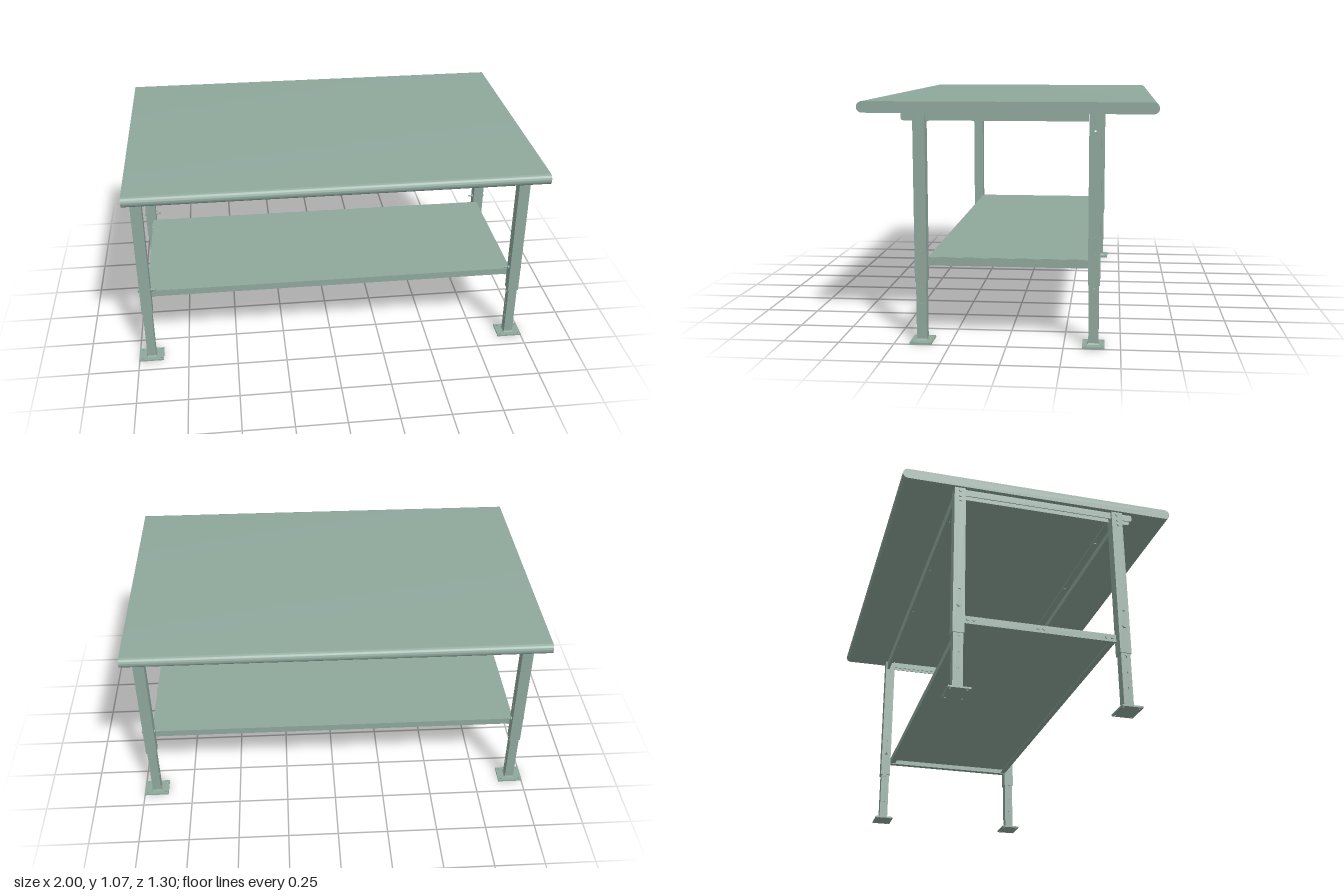
import * as THREE from 'three';
import { toCreasedNormals } from 'three/addons/utils/BufferGeometryUtils.js';

export function createModel() {
  const paint = new THREE.MeshStandardMaterial({ color: 0x8fa89c });
  paint.name = 'sage green paint';
  const model = new THREE.Group();
  model.name = 'workbench';

  const add = (parent, name, geometry) => {
    const mesh = new THREE.Mesh(geometry, paint);
    mesh.name = name;
    parent.add(mesh);
    return mesh;
  };
  const group = (parent, name) => {
    const g = new THREE.Group();
    g.name = name;
    parent.add(g);
    return g;
  };
  // Box given by its lower and upper limits on each axis
  const box = (parent, name, x0, x1, y0, y1, z0, z1) =>
    add(parent, name, new THREE.BoxGeometry(x1 - x0, y1 - y0, z1 - z0)
      .translate((x0 + x1) / 2, (y0 + y1) / 2, (z0 + z1) / 2));
  // Extrude a z/y outline along x, from x0 to x1
  const extrudeX = (shape, x0, x1, curveSegments = 10) => {
    const g = new THREE.ExtrudeGeometry(shape, { depth: x1 - x0, bevelEnabled: false, curveSegments });
    return toCreasedNormals(g.rotateY(Math.PI / 2).translate(x0, 0, 0), 0.6);
  };
  // Rectangle with round holes [a, b, radius]
  const plateShape = (a0, a1, b0, b1, holes = []) => {
    const s = new THREE.Shape([[a0, b0], [a1, b0], [a1, b1], [a0, b1]].map(p => new THREE.Vector2(...p)));
    for (const [a, b, r] of holes) s.holes.push(new THREE.Path().absarc(a, b, r, 0, Math.PI * 2, true));
    return s;
  };
  // Bolt lying along x
  const bolt = (parent, name, x0, x1, y, z, r, sides = 12) =>
    add(parent, name, new THREE.CylinderGeometry(r, r, x1 - x0, sides)
      .rotateZ(Math.PI / 2).translate((x0 + x1) / 2, y, z));
  // Square tube, its two x walls pierced at the given heights
  const tube = (parent, name, x, w, d, y0, y1, t, heights) => {
    const g = group(parent, name);
    const wall = plateShape(-d / 2, d / 2, y0, y1, heights.map(h => [0, h, 0.006]));
    add(g, 'outerWall', extrudeX(wall, x + w / 2 - t, x + w / 2, 6));
    add(g, 'innerWall', extrudeX(wall, x - w / 2, x - w / 2 + t, 6));
    for (const s of [-1, 1]) {
      const zc = s * (d / 2 - t / 2);
      box(g, 'sideWall', x - w / 2 + t, x + w / 2 - t, y0, y1, zc - t / 2, zc + t / 2);
    }
    return g;
  };

  // Worktop with rounded front and back edges
  const r = 0.025, zi = 0.65 - r, yc = 1.045;
  const top = new THREE.Shape();
  top.absarc(zi, yc, r, -Math.PI / 2, Math.PI / 2, false);
  top.absarc(-zi, yc, r, Math.PI / 2, Math.PI * 1.5, false);
  top.closePath();
  add(model, 'worktop', extrudeX(top, -0.975, 0.975, 12));

  // Four telescopic legs with foot plates
  const legX = 0.938, legZ = 0.381;
  for (const sx of [-1, 1]) for (const sz of [-1, 1]) {
    const leg = group(model, 'leg');
    leg.position.set(0, 0, sz * legZ);
    leg.rotation.y = sx < 0 ? Math.PI : 0;
    tube(leg, 'upperLeg', legX, 0.054, 0.053, 0.275, 1.02, 0.004, [0.485, 0.945]);
    tube(leg, 'lowerLeg', legX, 0.044, 0.045, 0.01, 0.48, 0.003, [0.105, 0.18, 0.257]);

    // Foot plate with four corner holes and a weld collar
    const holes = [];
    for (const a of [-1, 1]) for (const b of [-1, 1]) holes.push([legX + a * 0.048, b * 0.037, 0.005]);
    const foot = new THREE.ExtrudeGeometry(plateShape(0.877, 1.0, -0.049, 0.049, holes),
      { depth: 0.008, bevelEnabled: false, curveSegments: 6 });
    add(leg, 'footPlate', foot.rotateX(-Math.PI / 2));
    const collar = new THREE.CylinderGeometry(0.032, 0.037, 0.007, 4, 1).rotateY(Math.PI / 4);
    add(leg, 'footCollar', toCreasedNormals(collar, 0.3)).position.set(legX, 0.0115, 0);

    // Height-locking bolt and top bracket bolts
    bolt(leg, 'lockBoltShank', 0.888, 0.968, 0.407, 0, 0.005);
    bolt(leg, 'lockBoltHead', 0.965, 0.973, 0.407, 0, 0.010, 6);
    bolt(leg, 'lockBoltNut', 0.903, 0.911, 0.407, 0, 0.010, 6);
    for (const y of [0.975, 1.004]) bolt(leg, 'topBolt', 0.965, 0.970, y, 0, 0.007);
  }

  // Side rails under the worktop, reaching past the front legs
  const web = new THREE.Shape();
  web.moveTo(-0.46, 1.02);
  web.lineTo(-0.46, 1.0);
  web.quadraticCurveTo(-0.46, 0.987, -0.447, 0.987);
  web.lineTo(0.352, 0.987);
  web.lineTo(0.352, 1.02);
  web.closePath();
  for (const sx of [-1, 1]) {
    const rail = group(model, 'sideTopRail');
    for (const x of [0.92, 0.952]) {
      const xc = sx * x;
      add(rail, 'railFlange', extrudeX(web, xc - 0.002, xc + 0.002));
    }
    const xm = sx * 0.936;
    box(rail, 'railTop', xm - 0.014, xm + 0.014, 1.015, 1.0195, -0.352, 0.46);
  }

  // Long rails between the legs, screwed up into the worktop
  for (const sz of [-1, 1]) {
    const rail = group(model, 'longRail');
    rail.position.z = sz * legZ;
    const zo = sz * 0.018;
    box(rail, 'railWeb', -0.911, 0.911, 0.967, 1.019, zo - 0.002, zo + 0.002);
    box(rail, 'railTopFlange', -0.911, 0.911, 1.014, 1.019, -0.02, 0.02);
    box(rail, 'railLip', -0.911, 0.911, 0.967, 0.971, Math.min(zo, sz * 0.006), Math.max(zo, sz * 0.006));
    for (const x of [-0.69, -0.23, 0.23, 0.69])
      add(rail, 'railScrew', new THREE.CylinderGeometry(0.008, 0.008, 0.005, 10)).position.set(x, 1.012, -sz * 0.006);
  }

  // Lower shelf: folded sheet with lips and return flanges
  const shelf = group(model, 'shelf');
  box(shelf, 'shelfPanel', -0.925, 0.925, 0.375, 0.38, -0.354, 0.354);
  for (const s of [-1, 1]) {
    const z = s * 0.352, x = s * 0.925, zr = s * 0.339;
    box(shelf, 'shelfLip', -0.925, 0.925, 0.346, 0.376, z - 0.002, z + 0.002);
    box(shelf, 'shelfReturn', -0.923, 0.923, 0.346, 0.35, zr - 0.012, zr + 0.012);
    // End rails carrying the shelf, with paired bolts
    box(shelf, 'endRail', x - 0.003, x + 0.003, 0.342, 0.379, -0.354, 0.354);
    const xr = s * 0.911;
    box(shelf, 'endRailFlange', xr - 0.012, xr + 0.012, 0.342, 0.346, -0.352, 0.352);
    for (const zb of [-0.333, -0.305, -0.013, 0.014, 0.307, 0.335])
      bolt(shelf, 'shelfBolt', s * 0.93 - 0.003, s * 0.93 + 0.003, 0.362, zb, 0.007);
  }
  return model;
}
